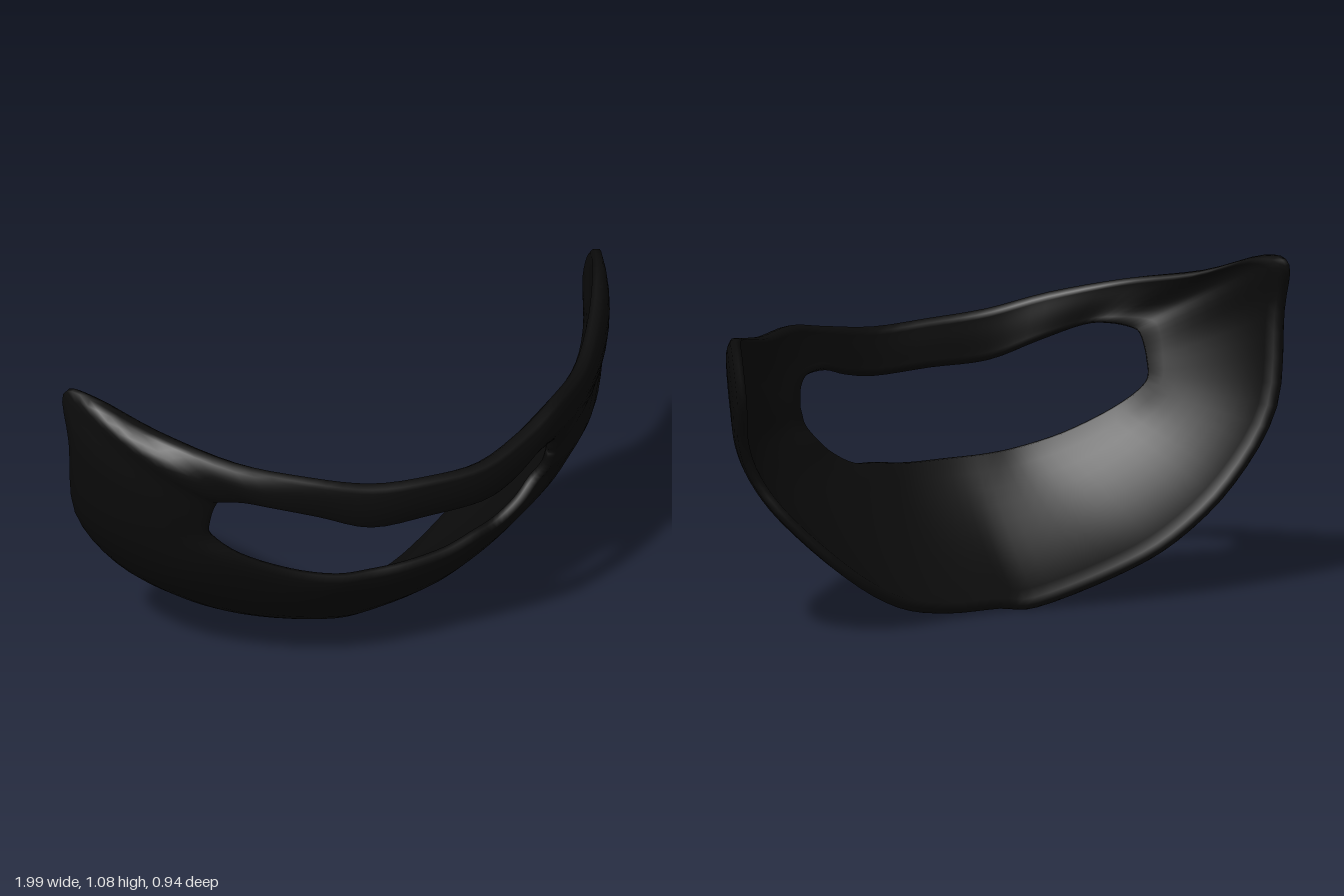
import * as THREE from 'three';

// outer rim of the shell, clockwise from the top middle: x, y, z
const OUTER = [
  0, .84, .46, .2, .83, .44, .4, .86, .36, .55, .89, .27, .7, .89, .13, .84, .93, -.07, .95, .97, -.28,
  .99, .94, -.40, 1, .8, -.47, .965, .65, -.39, .91, .52, -.36, .81, .38, -.39, .6, .19, -.4, .4, .07, -.34,
  .2, .02, -.25, 0, .01, -.19, -.13, .005, -.19, -.4, .09, -.2, -.6, .19, -.21, -.8, .36, -.2, -.95, .6, -.19,
  -.99, .9, -.15, -.99, 1.06, -.19, -.94, 1.08, -.1, -.8, 1.01, .07, -.62, .96, .28, -.4, .91, .40, -.2, .86, .45,
];
// rim of the opening, point for point with the outer rim
const HOLE = [
  0, .68, .44, .2, .67, .42, .32, .69, .38, .41, .72, .33, .5, .72, .27, .54, .69, .23, .55, .65, .21,
  .555, .63, .2, .55, .61, .2, .54, .57, .19, .5, .52, .18, .44, .47, .2, .36, .43, .22, .27, .42, .25,
  .15, .405, .28, 0, .405, .3, -.13, .41, .3, -.25, .425, .3, -.4, .47, .27, -.56, .55, .23, -.65, .63, .19,
  -.66, .7, .2, -.65, .78, .23, -.63, .8, .26, -.57, .81, .31, -.5, .8, .36, -.36, .75, .40, -.2, .69, .44,
];
const CENTRE = new THREE.Vector3(0, .8, -.3);

function loop(a) {
  const pts = [];
  for (let i = 0; i < a.length; i += 3) pts.push(new THREE.Vector3(a[i], a[i + 1], a[i + 2]));
  return new THREE.CatmullRomCurve3(pts, true, 'catmullrom', 0.5);
}

// closed cross-sections (outside face, rim, inside face, rim) swept round the opening
function shellGeometry(sections, steps) {
  const outer = loop(OUTER), hole = loop(HOLE);
  const pos = [], index = [], ring = 2 * (steps + 1) + 2;
  for (let i = 0; i < sections; i++) {
    const h = hole.getPoint(i / sections), o = outer.getPoint(i / sections);
    const d = h.distanceTo(o);
    const put = (v, depth) => {
      const p = h.clone().lerp(o, v);
      const n = p.clone().sub(CENTRE).normalize();
      p.addScaledVector(n, 4 * v * (1 - v) * 0.12 * d - depth);
      pos.push(p.x, p.y, p.z);
    };
    const thick = v => 0.035 + 0.02 * Math.sin(Math.PI * v);
    const edge = 0.012 / d;
    for (let j = 0; j <= steps; j++) put(edge + (1 - 2 * edge) * j / steps, 0);
    put(1, 0.018);
    for (let j = steps; j >= 0; j--) {
      const v = edge + (1 - 2 * edge) * j / steps;
      put(v, thick(v));
    }
    put(0, 0.018);
  }
  for (let i = 0; i < sections; i++) {
    const k = (i + 1) % sections;
    for (let j = 0; j < ring; j++) {
      const m = (j + 1) % ring;
      const a = i * ring + j, b = k * ring + j, c = k * ring + m, e = i * ring + m;
      index.push(a, b, c, a, c, e);
    }
  }
  const g = new THREE.BufferGeometry();
  g.setAttribute('position', new THREE.Float32BufferAttribute(pos, 3));
  g.setIndex(index);
  g.computeVertexNormals();
  return g;
}

export function createModel() {
  const group = new THREE.Group();
  group.name = 'curvedShell';
  const black = new THREE.MeshStandardMaterial({ color: 0x0b0b0b });
  black.name = 'black';
  const shell = new THREE.Mesh(shellGeometry(112, 10), black);
  shell.name = 'shellWithOpening';
  group.add(shell);
  return group;
}
